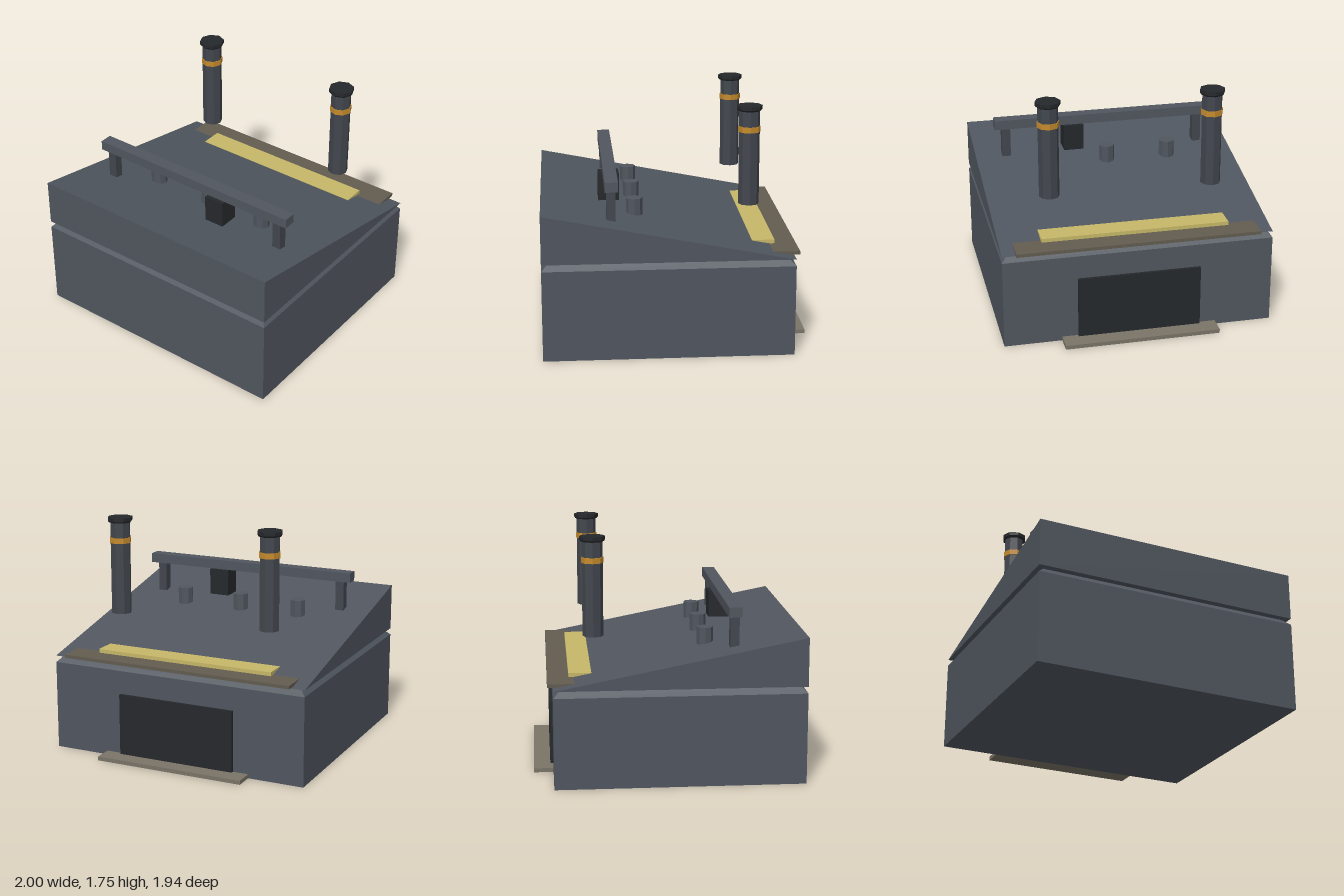
import * as THREE from 'three';

const mat = (color) => new THREE.MeshStandardMaterial({ color, flatShading: true });
const slate = mat(0x50565f);
const dark = mat(0x42474e);
const black = mat(0x25282b);
const amber = mat(0xc48a2c);
const brass = mat(0xc6b768);
const bronze = mat(0x625c50);
const stone = mat(0x7a7468);

export function createModel() {
  const model = new THREE.Group();

  const add = (name, geometry, material, parent = model) => {
    const mesh = new THREE.Mesh(geometry, material);
    mesh.name = name;
    parent.add(mesh);
    return mesh;
  };
  // Box given by its extents on each axis
  const box = (name, [x0, x1], [y0, y1], [z0, z1], material) => {
    const g = new THREE.BoxGeometry(x1 - x0, y1 - y0, z1 - z0);
    g.translate((x0 + x1) / 2, (y0 + y1) / 2, (z0 + z1) / 2);
    return add(name, g, material);
  };
  // Octagonal cylinder between two heights
  const octagon = (name, rTop, rBottom, y0, y1, material, parent) => {
    const g = new THREE.CylinderGeometry(rTop, rBottom, y1 - y0, 8);
    g.translate(0, (y0 + y1) / 2, 0);
    return add(name, g, material, parent);
  };

  // Main block
  box('base', [-1, 1], [0, 0.665], [-0.83, 0.97], slate);

  // Chamfered neck between base and roof: a box with its top drawn in
  const neck = new THREE.BoxGeometry(2, 0.05, 1.8);
  const p = neck.attributes.position;
  for (let i = 0; i < p.count; i++) {
    if (p.getY(i) > 0) {
      p.setX(i, Math.sign(p.getX(i)) * 0.95);
      p.setZ(i, Math.sign(p.getZ(i)) * 0.85);
    }
  }
  neck.translate(0, 0.69, 0.07);
  add('neck', neck, slate);

  // Wedge roof: side profile (shape x = -z) extruded across the width
  const profile = new THREE.Shape();
  profile.moveTo(-0.97, 0.715);
  profile.lineTo(0.83, 0.715);
  profile.lineTo(-0.97, 1.067);
  const wedge = new THREE.ExtrudeGeometry(profile, { depth: 2, bevelEnabled: false });
  wedge.translate(0, 0, -1);
  wedge.rotateY(Math.PI / 2);
  add('slopedRoof', wedge, slate);

  // Rear ledge, strip, door and doorstep
  box('rearLedge', [-0.9, 0.9], [0.72, 0.745], [-0.87, -0.66], bronze);
  box('rearStrip', [-0.695, 0.695], [0.735, 0.773], [-0.715, -0.55], brass);
  box('rearDoor', [-0.455, 0.455], [0.03, 0.49], [-0.852, -0.82], black);
  box('doorstep', [-0.575, 0.575], [0, 0.03], [-0.972, -0.83], stone);

  // Rail on two posts, with a hanging block
  box('rail', [-0.85, 0.85], [1.19, 1.262], [0.42, 0.515], slate);
  for (const side of [-1, 1]) {
    const x = side * 0.762;
    box('railPost', [x - 0.033, x + 0.033], [0.93, 1.19], [0.437, 0.503], dark);
  }
  box('railBlock', [0.16, 0.315], [0.99, 1.19], [0.392, 0.545], black);

  // Knobs on the slope
  for (const x of [-0.48, 0, 0.48]) {
    octagon('knob', 0.06, 0.06, 0.91, 1.052, slate).position.set(x, 0, 0.29);
  }

  // Floating columns with band and cap
  for (const side of [-1, 1]) {
    const column = new THREE.Group();
    column.name = side > 0 ? 'leftColumn' : 'rightColumn';
    column.position.set(side * 0.6, 0, -0.532);
    octagon('shaft', 0.075, 0.075, 1.026, 1.73, dark, column);
    octagon('band', 0.081, 0.081, 1.557, 1.598, amber, column);
    octagon('capUnderside', 0.093, 0.083, 1.71, 1.722, black, column);
    octagon('cap', 0.093, 0.093, 1.722, 1.748, black, column);
    model.add(column);
  }

  return model;
}
